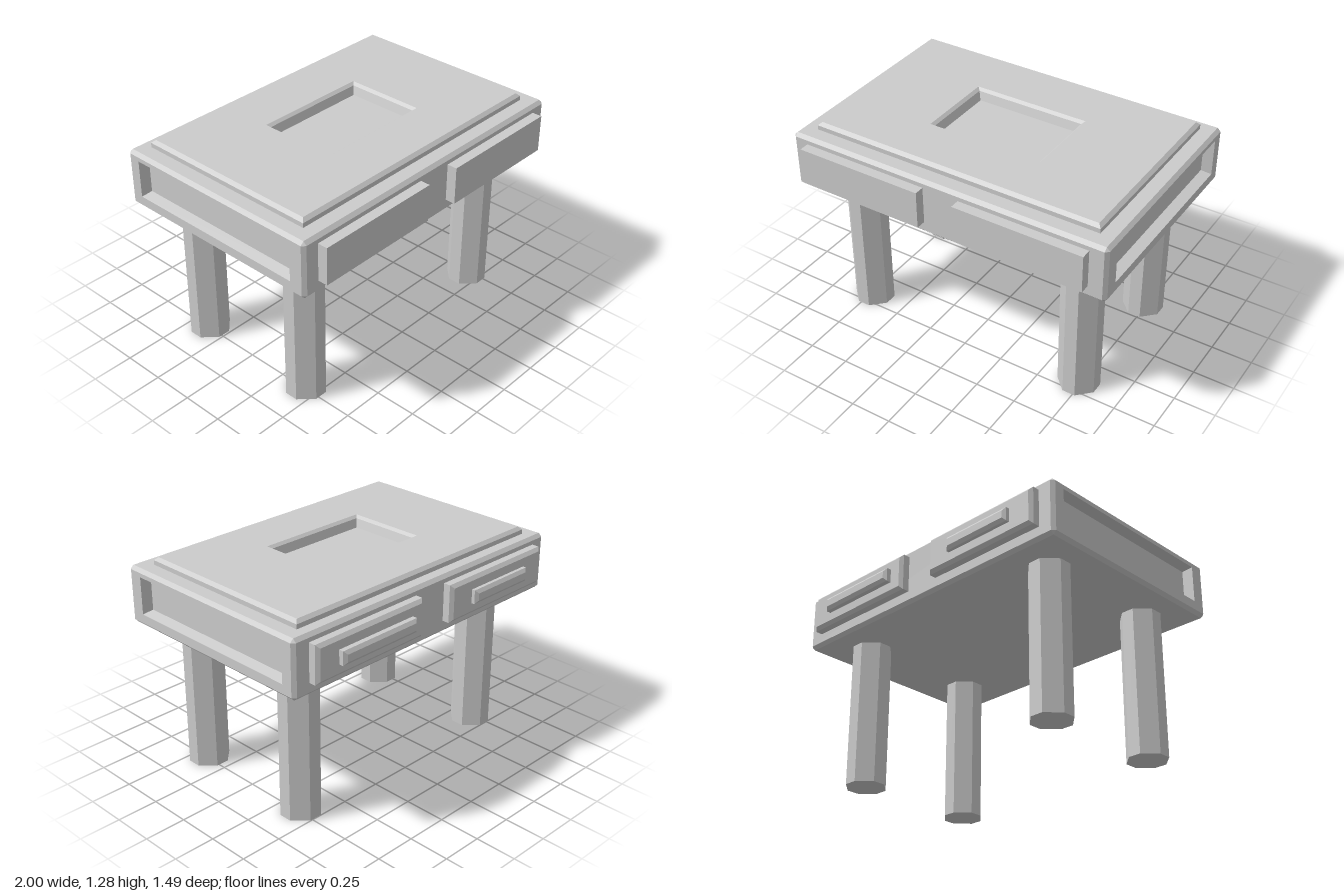
import * as THREE from 'three';

const material = new THREE.MeshStandardMaterial({ color: 0xcccccc, flatShading: true });

// Maps section coordinates (u, v) at height w to model space, per loft axis
const toSpace = {
  x: (u, v, w) => new THREE.Vector3(w, u, v),
  y: (u, v, w) => new THREE.Vector3(v, w, u),
  z: (u, v, w) => new THREE.Vector3(u, v, w),
};

// Rectangular section at w, with corners cut by c
const rect = (w, u0, u1, v0, v1, c = 0) => ({ w, u0, u1, v0, v1, c });
const inset = (s, d, w, c = 0) => rect(w, s.u0 + d, s.u1 - d, s.v0 + d, s.v1 - d, c);

// Joins sections into a flat-faced skin; skip(band, edge) leaves openings
function loft(name, axis, sections, { startCap = true, endCap = true, skip = () => false } = {}) {
  const rings = sections.map(({ w, u0, u1, v0, v1, c }) => [
    [u0 + c, v0], [u1 - c, v0], [u1, v0 + c], [u1, v1 - c],
    [u1 - c, v1], [u0 + c, v1], [u0, v1 - c], [u0, v0 + c],
  ].map(([u, v]) => toSpace[axis](u, v, w)));
  const points = [];
  const tri = (a, b, c) => {
    const area = b.clone().sub(a).cross(c.clone().sub(a)).length();
    if (area > 1e-8) points.push(a, b, c);
  };
  for (let s = 0; s < rings.length - 1; s++) {
    for (let i = 0; i < 8; i++) {
      if (skip(s, i)) continue;
      const j = (i + 1) % 8, a = rings[s], b = rings[s + 1];
      tri(a[i], a[j], b[j]);
      tri(a[i], b[j], b[i]);
    }
  }
  const first = rings[0], last = rings[rings.length - 1];
  for (let i = 1; i < 7; i++) {
    if (startCap) tri(first[0], first[i + 1], first[i]);
    if (endCap) tri(last[0], last[i], last[i + 1]);
  }
  const geometry = new THREE.BufferGeometry().setFromPoints(points);
  geometry.computeVertexNormals();
  const mesh = new THREE.Mesh(geometry, material);
  mesh.name = name;
  return mesh;
}

export function createModel() {
  const model = new THREE.Group();
  model.name = 'desk';

  // Bevelled body, raised top plate and sunken top pocket in one skin
  const body = rect(0.91, -0.645, 0.685, -1, 1, 0.02);
  const plate = rect(1.235, -0.565, 0.585, -0.9, 0.9);
  const pocket = rect(1.28, -0.225, 0.26, -0.36, 0.355);
  model.add(loft('body', 'y', [
    inset(body, 0.02, 0.89), body, inset(body, 0, 1.215, 0.02), inset(body, 0.02, 1.235),
    plate, inset(plate, 0, 1.262), inset(plate, 0.02, 1.28),
    pocket, inset(pocket, 0.018, 1.265), inset(pocket, 0.035, 1.215),
  ], { skip: (band, edge) => band === 1 && edge % 4 === 0 }));

  // Side faces with a sunken panel
  const sidePanel = (x) => [
    rect(x, 0.91, 1.215, -0.625, 0.665),
    rect(x, 0.965, 1.19, -0.56, 0.585),
    rect(x * 0.94, 0.98, 1.175, -0.545, 0.57),
  ];
  model.add(loft('leftSidePanel', 'x', sidePanel(1), { startCap: false }));
  model.add(loft('rightSidePanel', 'x', sidePanel(-1).reverse(), { endCap: false }));

  // Plain drawers in front, bevelled drawers with handles behind
  const drawers = [
    { side: 'right', x0: -0.9, x1: -0.115, h0: -0.74, h1: -0.285, depth: 0.035 },
    { side: 'left', x0: 0.11, x1: 0.895, h0: 0.2, h1: 0.745, depth: 0.043 },
  ];
  for (const { side, x0, x1, h0, h1, depth } of drawers) {
    const front = rect(0.685, x0, x1, 0.965, 1.19);
    model.add(loft(`${side}FrontDrawer`, 'z', [front, inset(front, 0, 0.745)]));
    const back = rect(-0.645, x0, x1, 0.965, 1.19);
    model.add(loft(`${side}BackDrawer`, 'z', [
      inset(back, 0.02, -0.705), inset(back, 0, -0.687), back,
    ]));
    const handle = rect(-0.705, h0, h1, 1.035, 1.118);
    model.add(loft(`${side}Handle`, 'z', [
      inset(handle, 0.02, -0.705 - depth), inset(handle, 0, -0.69 - depth), handle,
    ]));
  }

  // Eight-sided legs
  for (const [xName, x] of [['Right', -0.73], ['Left', 0.725]]) {
    for (const [zName, z] of [['front', 0.413], ['back', -0.38]]) {
      const foot = rect(0, z - 0.118, z + 0.118, x - 0.118, x + 0.118, 0.079);
      model.add(loft(`${zName}${xName}Leg`, 'y', [foot, inset(foot, 0, 0.89, 0.079)]));
    }
  }
  return model;
}
